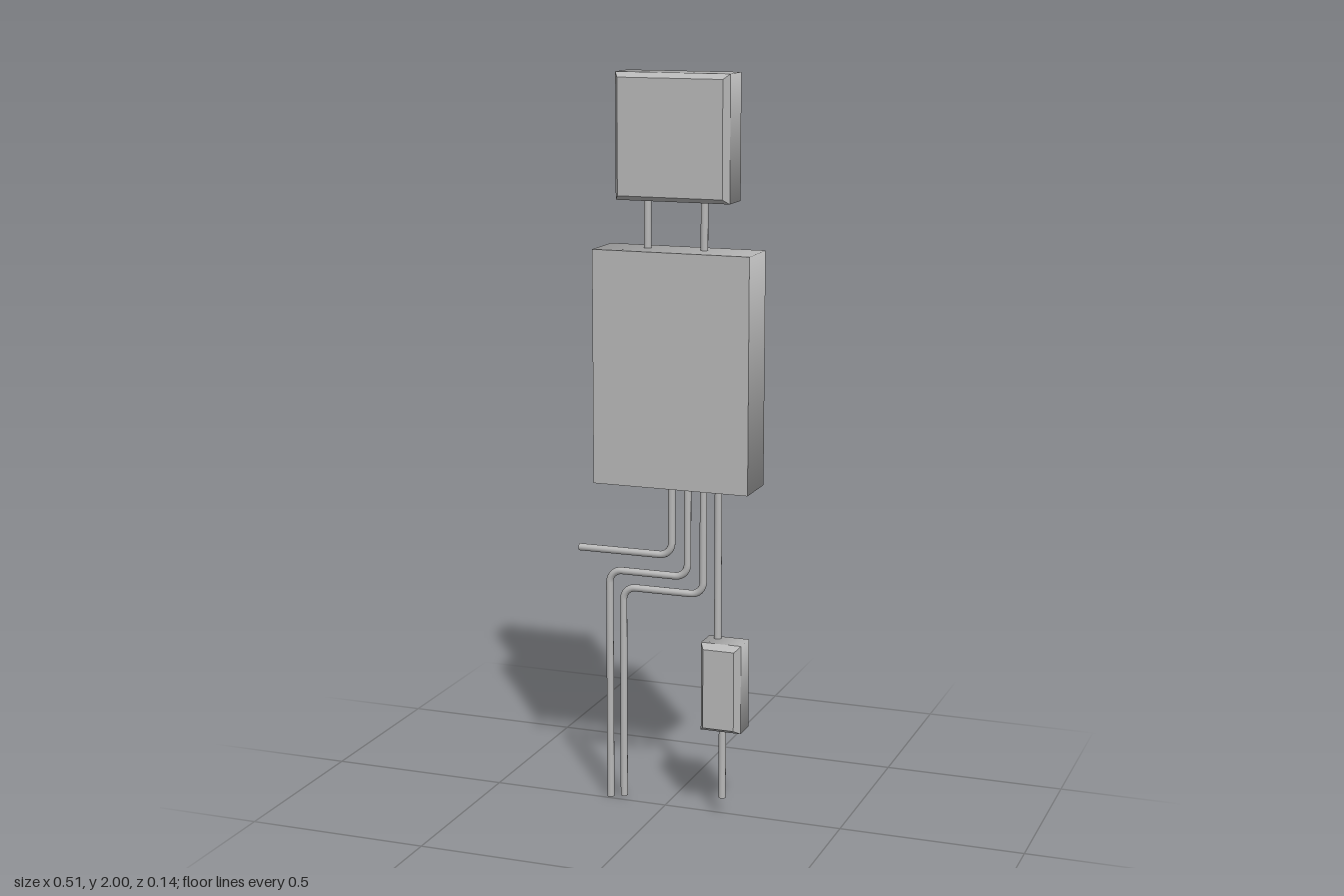
import * as THREE from 'three';

const grey = new THREE.MeshStandardMaterial({ color: 0xb8b8b8, side: THREE.DoubleSide });
grey.name = 'plain grey';

// Four-sided band between two rectangles [x0, x1, y0, y1, z], shaded softly round its corners
function band(back, front) {
  const pos = [], nor = [], idx = [];
  for (const [x0, x1, y0, y1, z] of [back, front]) {
    pos.push(x0, y0, z, x1, y0, z, x1, y1, z, x0, y1, z);
    const s = Math.SQRT1_2;
    nor.push(-s, -s, 0, s, -s, 0, s, s, 0, -s, s, 0);
  }
  for (let i = 0; i < 4; i++) {
    const j = (i + 1) % 4;
    idx.push(i, j, j + 4, i, j + 4, i + 4);
  }
  const g = new THREE.BufferGeometry();
  g.setAttribute('position', new THREE.Float32BufferAttribute(pos, 3));
  g.setAttribute('normal', new THREE.Float32BufferAttribute(nor, 3));
  g.setIndex(idx);
  return g;
}

function add(parent, name, geometry) {
  const mesh = new THREE.Mesh(geometry, grey);
  mesh.name = name;
  parent.add(mesh);
  return mesh;
}

// Thin cover, open at the back, with an optional bevel round its front panel
function cover(name, [x0, x1, y0, y1], zBack, zFront, bevel = 0, depth = 0) {
  const group = new THREE.Group();
  group.name = name;
  const zEdge = zFront - depth, b = bevel;
  add(group, 'sideWalls', band([x0, x1, y0, y1, zBack], [x0, x1, y0, y1, zEdge]));
  if (b) {
    const rim = band([x0, x1, y0, y1, zEdge], [x0 + b, x1 - b, y0 + b, y1 - b, zFront]).toNonIndexed();
    rim.computeVertexNormals();
    add(group, 'bevelRim', rim);
  }
  const panel = add(group, 'frontPanel', new THREE.PlaneGeometry(x1 - x0 - 2 * b, y1 - y0 - 2 * b));
  panel.position.set((x0 + x1) / 2, (y0 + y1) / 2, zFront);
  return group;
}

// Round pipe along straight runs joined by rounded elbows, with flat ends
function pipe(name, points, z = -0.016, r = 0.01, bend = 0.035) {
  const group = new THREE.Group();
  group.name = name;
  const p = points.map(([x, y]) => new THREE.Vector3(x, y, z));
  const path = new THREE.CurvePath();
  let from = p[0];
  for (let i = 1; i < p.length - 1; i++) {
    const a = p[i].clone().add(p[i - 1].clone().sub(p[i]).setLength(bend));
    const c = p[i].clone().add(p[i + 1].clone().sub(p[i]).setLength(bend));
    path.add(new THREE.LineCurve3(from, a));
    // cubic handles at 0.55 of the radius give a circular elbow
    path.add(new THREE.CubicBezierCurve3(a, a.clone().lerp(p[i], 0.55), c.clone().lerp(p[i], 0.55), c));
    from = c;
  }
  path.add(new THREE.LineCurve3(from, p[p.length - 1]));
  path.curves.forEach((curve, i) => {
    const steps = curve.isLineCurve3 ? 1 : 8;
    add(group, i % 2 ? 'elbow' : 'straightRun', new THREE.TubeGeometry(curve, steps, r, 12));
  });
  for (const [end, next] of [[p[0], p[1]], [p[p.length - 1], p[p.length - 2]]]) {
    const cap = add(group, 'pipeEnd', new THREE.CircleGeometry(r, 12));
    cap.position.copy(end);
    cap.lookAt(end.clone().multiplyScalar(2).sub(next));
  }
  return group;
}

export function createModel() {
  const model = new THREE.Group();
  model.name = 'pipedBoxes';

  // Three covers
  model.add(cover('upperCover', [-0.12, 0.193, 1.67, 2], -0.041, 0.068, 0.013, 0.022));
  model.add(cover('mainCover', [-0.18, 0.253, 0.912, 1.54], -0.07, 0.065));
  model.add(cover('smallCover', [0.115, 0.228, 0.245, 0.491], -0.034, 0.056, 0.013, 0.022));

  // Pipes, each running from its top end
  model.add(pipe('sidePipe', [[0.013, 0.945], [0.013, 0.709], [-0.255, 0.709]]));
  model.add(pipe('outerLongPipe', [
    [-0.055, 1.7], [-0.055, 1.5], [0.058, 1.5], [0.058, 0.653], [-0.167, 0.653], [-0.167, 0],
  ]));
  model.add(pipe('innerLongPipe', [[0.103, 1.7], [0.103, 0.608], [-0.127, 0.608], [-0.127, 0.008]]));
  model.add(pipe('linkPipe', [[0.145, 0.945], [0.145, 0.4]]));
  model.add(pipe('outletPipe', [[0.168, 0.28], [0.168, 0.048]], 0.008));
  return model;
}
